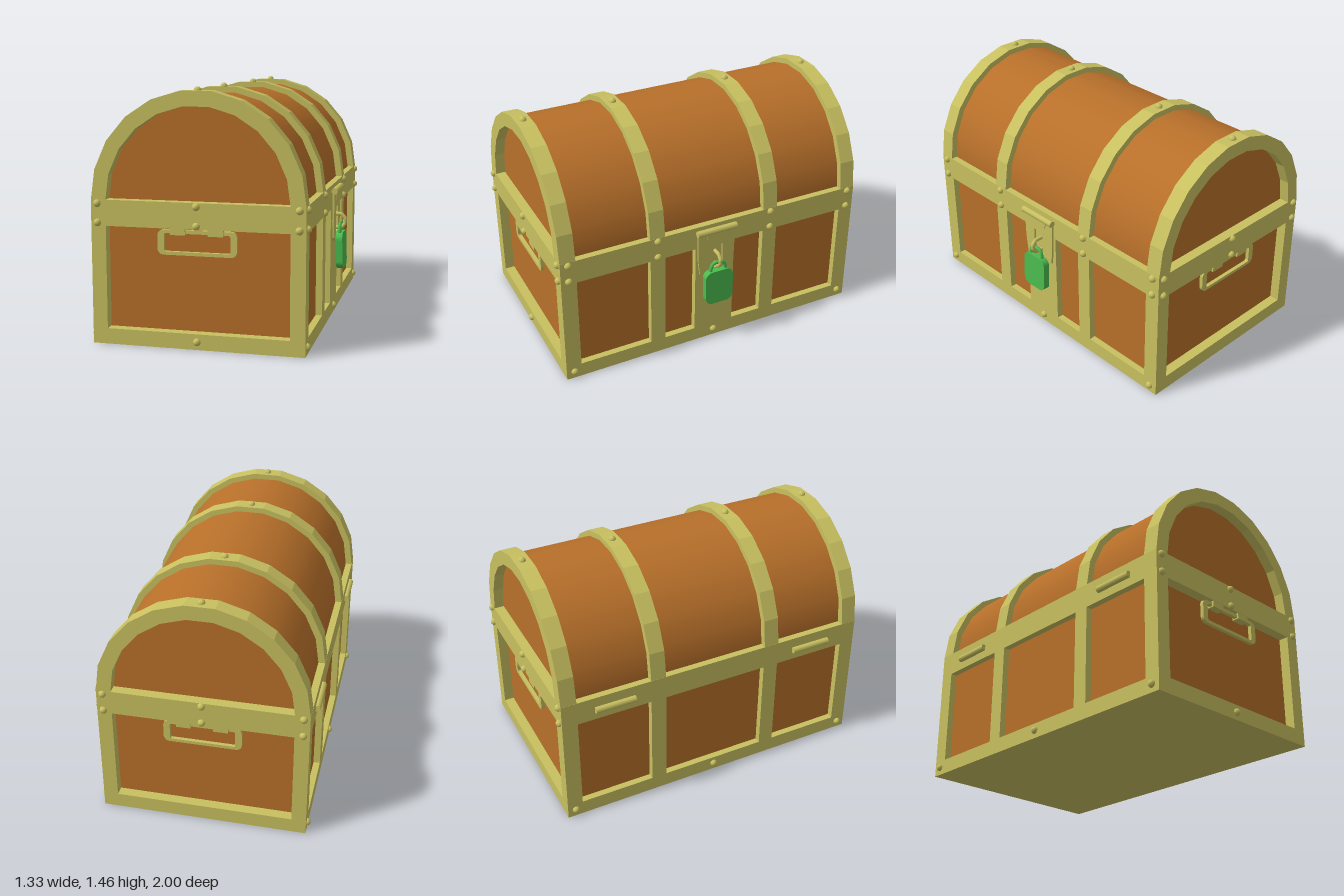
import * as THREE from 'three';

const wood = new THREE.MeshStandardMaterial({ color: 0xb8702a });
const brass = new THREE.MeshStandardMaterial({ color: 0xc8c060 });
const green = new THREE.MeshStandardMaterial({ color: 0x4abb4e });

const HALF_W = 0.612, HALF_L = 0.98, SPRING = 0.822, RAIL_TOP = 0.828;
const BAND = 0.095, BAND_Z = [0.9325, 0.3775, -0.3775, -0.9325];

function add(parent, name, geometry, material, x = 0, y = 0, z = 0) {
  const mesh = new THREE.Mesh(geometry, material);
  mesh.name = name;
  mesh.position.set(x, y, z);
  parent.add(mesh);
  return mesh;
}

// Closed outline from [x, y] pairs
const outline = (pts, Type = THREE.Shape) => new Type(pts.map(p => new THREE.Vector2(p[0], p[1])));
const rect = (x0, x1, y0, y1, Type) => outline([[x0, y0], [x1, y0], [x1, y1], [x0, y1]], Type);

function roundRect(x0, x1, y0, y1, r, Type = THREE.Shape) {
  const s = new Type();
  s.absarc(x1 - r, y1 - r, r, 0, Math.PI / 2);
  s.absarc(x0 + r, y1 - r, r, Math.PI / 2, Math.PI);
  s.absarc(x0 + r, y0 + r, r, Math.PI, Math.PI * 1.5);
  s.absarc(x1 - r, y0 + r, r, Math.PI * 1.5, Math.PI * 2);
  s.closePath();
  return s;
}

function extrude(shape, holes, depth) {
  shape.holes.push(...holes);
  return new THREE.ExtrudeGeometry(shape, { depth, bevelEnabled: false, curveSegments: 5 });
}

// Eleven-sided half ring used by every lid band
function archGeometry() {
  const arc = (rx, ry) => Array.from({ length: 12 }, (_, i) => {
    const a = (i / 11) * Math.PI;
    return [Math.cos(a) * rx, SPRING + Math.sin(a) * ry];
  });
  const geometry = extrude(outline([...arc(HALF_W, 0.622), ...arc(0.526, 0.536).reverse()]), [], BAND);
  return geometry.translate(0, 0, -BAND / 2);
}

function addRivets(parent) {
  const ball = new THREE.SphereGeometry(0.022, 12, 8);
  const rivet = (x, y, z) => add(parent, 'rivet', ball, brass, x, y, z);
  for (const z of BAND_Z) {
    rivet(0, 1.438, z);
    for (const y of [0.807, 0.7]) rivet(HALF_W, y, z);
  }
  for (const side of [-1, 1])
    for (const z of [0.93, 0, -0.93]) rivet(side * HALF_W, 0.047, z);
  for (const end of [-1, 1])
    for (const x of [-0.575, 0, 0.575])
      for (const y of [0.807, 0.698]) rivet(x, y, end * HALF_L);
  rivet(0, 0.045, HALF_L);
}

// Recessed carrying handle with two clips
function makeHandle() {
  const handle = new THREE.Group();
  handle.name = 'handle';
  const bail = extrude(roundRect(-0.228, 0.228, 0.53, 0.672, 0.035),
    [roundRect(-0.19, 0.19, 0.549, 0.652, 0.012, THREE.Path)], 0.022);
  add(handle, 'handleBail', bail, brass, 0, 0, 0.945);
  for (const s of [-1, 1])
    add(handle, 'handleClip', new THREE.BoxGeometry(0.085, 0.045, 0.045), brass, s * 0.108, 0.667, 0.955);
  return handle;
}

// Hinged hasp plate, staple loop and hanging padlock
function addLock(parent) {
  const pin = new THREE.CylinderGeometry(0.02, 0.02, 0.26, 10).rotateX(Math.PI / 2);
  add(parent, 'haspHinge', pin, brass, 0.633, 0.793, 0);
  const plate = extrude(
    outline([[-0.125, 0.805], [-0.12, 0.6], [-0.108, 0.5], [-0.08, 0.475],
      [0.08, 0.475], [0.108, 0.5], [0.12, 0.6], [0.125, 0.805]]),
    [rect(-0.042, 0.042, 0.53, 0.685, THREE.Path)], 0.012).rotateY(Math.PI / 2);
  add(parent, 'haspPlate', plate, brass, 0.619, 0, 0);
  const tab = extrude(outline([[-0.07, 0.78], [-0.06, 0.73], [0.06, 0.73], [0.07, 0.78]]), [], 0.014);
  add(parent, 'haspTab', tab.rotateY(Math.PI / 2), brass, 0.622, 0, 0);
  add(parent, 'haspTongue', new THREE.BoxGeometry(0.016, 0.06, 0.064), brass, 0.628, 0.5, 0);

  const staple = new THREE.CurvePath();
  const loop = [[0.6, 0.635], [0.66, 0.635], [0.682, 0.61], [0.682, 0.575], [0.66, 0.55], [0.6, 0.55]]
    .map(p => new THREE.Vector3(p[0], p[1], 0));
  for (let i = 1; i < loop.length; i++) staple.add(new THREE.LineCurve3(loop[i - 1], loop[i]));
  add(parent, 'staple', new THREE.TubeGeometry(staple, 24, 0.012, 8), brass);

  const padlock = new THREE.Group();
  padlock.name = 'padlock';
  const body = extrude(roundRect(-0.092, 0.092, -0.225, 0, 0.045), [], 0.042).rotateY(Math.PI / 2);
  add(padlock, 'padlockBody', body, green, -0.021, 0, 0);
  const shackle = new THREE.CatmullRomCurve3(
    [[-0.03, 0.048], [0.015, 0.048], [0.045, 0.034], [0.052, 0], [0.045, -0.034], [0.015, -0.048], [-0.03, -0.048]]
      .map(p => new THREE.Vector3(0, p[0], p[1])));
  add(padlock, 'padlockShackle', new THREE.TubeGeometry(shackle, 20, 0.011, 8), green);
  padlock.position.set(0.656, 0.525, 0);
  padlock.rotation.z = 0.035;
  parent.add(padlock);
}

export function createModel() {
  const model = new THREE.Group();
  model.name = 'treasureChest';
  const chest = new THREE.Group();
  chest.name = 'chest';
  chest.position.x = -0.03;
  model.add(chest);

  // Wooden core and barrel lid
  add(chest, 'woodenBody', new THREE.BoxGeometry(1.144, 0.8, 1.84), wood, 0, 0.42, 0);
  add(chest, 'floor', new THREE.BoxGeometry(1.15, 0.03, 1.85), brass, 0, 0.015, 0);
  const barrel = new THREE.CylinderGeometry(1, 1, 1.84, 11, 1, false, Math.PI / 2, Math.PI)
    .rotateX(Math.PI / 2).scale(0.572, 0.588, 1);
  add(chest, 'woodenLid', barrel, wood, 0, SPRING, 0);

  // Metal bands over the lid
  const arch = archGeometry();
  for (const z of BAND_Z) add(chest, 'lidBand', arch, brass, 0, 0, z);

  // End frames with handles
  for (const end of [-1, 1]) {
    const frame = extrude(rect(-HALF_W, HALF_W, 0, RAIL_TOP),
      [rect(-0.526, 0.526, 0.09, 0.68, THREE.Path)], 0.062);
    add(chest, 'endFrame', frame, brass, 0, 0, end > 0 ? 0.918 : -0.98);
    const handle = makeHandle();
    if (end < 0) handle.rotation.y = Math.PI;
    chest.add(handle);
  }

  // Long side frames; the lock side has an extra centre strap
  for (const side of [-1, 1]) {
    const middle = side > 0 ? [[-0.33, -0.13], [0.13, 0.33]] : [[-0.33, 0.33]];
    const holes = [[-0.885, -0.425], ...middle, [0.425, 0.885]]
      .map(([a, b]) => rect(a, b, 0.09, 0.68, THREE.Path));
    const frame = extrude(rect(-0.92, 0.92, 0, RAIL_TOP), holes, 0.044).rotateY(Math.PI / 2);
    add(chest, 'sideFrame', frame, brass, side > 0 ? HALF_W - 0.044 : -HALF_W, 0, 0);
  }

  // Lid hinges
  for (const s of [-1, 1]) {
    const hinge = new THREE.CylinderGeometry(0.02, 0.02, 0.25, 10).rotateX(Math.PI / 2);
    add(chest, 'lidHinge', hinge, brass, -0.62, 0.748, s * 0.653);
  }

  addRivets(chest);
  addLock(chest);
  return model;
}
